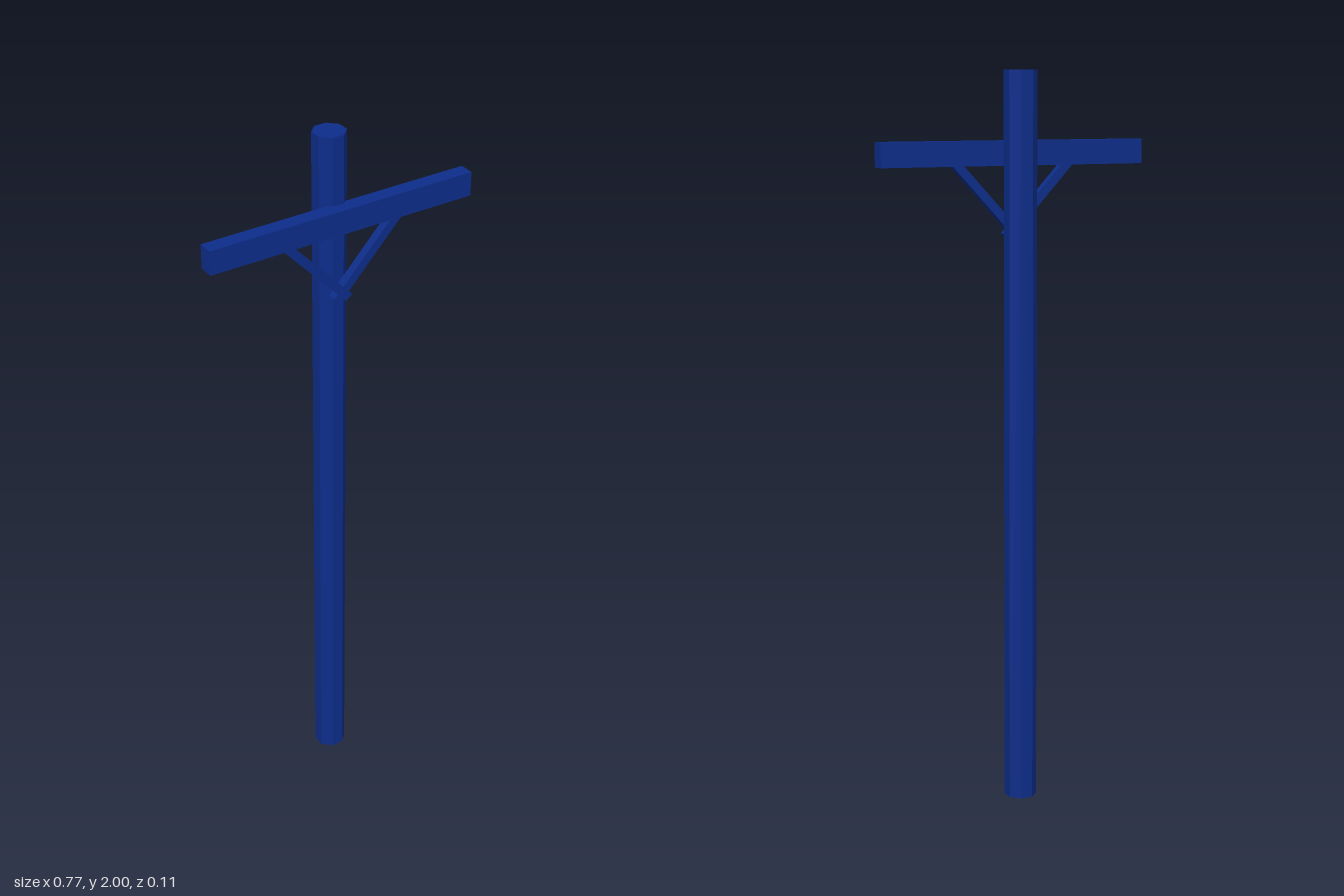
import * as THREE from 'three';

export function createModel() {
  const group = new THREE.Group();
  const blue = new THREE.MeshStandardMaterial({ color: 0x0d2d8a });
  blue.name = 'deep blue';
  blue.flatShading = true;

  const add = (name, geometry, x, y, z) => {
    const mesh = new THREE.Mesh(geometry, blue);
    mesh.name = name;
    mesh.position.set(x, y, z);
    group.add(mesh);
    return mesh;
  };

  // Octagonal pole, with flat sides facing the axes
  const apothem = 0.041;
  const radius = apothem / Math.cos(Math.PI / 8);
  const poleGeometry = new THREE.CylinderGeometry(radius, radius, 2, 8);
  poleGeometry.rotateY(Math.PI / 8);
  add('pole', poleGeometry, 0, 1, -0.017);

  // Crossarm, let slightly into the front of the pole
  add('crossarm', new THREE.BoxGeometry(0.768, 0.066, 0.042), 0, 1.783, 0.035);

  // Diagonal braces, crossing at the foot and ending inside the crossarm
  for (const side of [1, -1]) {
    const foot = new THREE.Vector2(-0.018 * side, 1.561);
    const head = new THREE.Vector2(0.176 * side, 1.767);
    const run = head.clone().sub(foot);
    const brace = add(
      side > 0 ? 'leftBrace' : 'rightBrace',
      new THREE.BoxGeometry(run.length(), 0.024, 0.024),
      (foot.x + head.x) / 2, (foot.y + head.y) / 2, 0.037
    );
    brace.rotation.z = run.angle();
  }

  return group;
}
